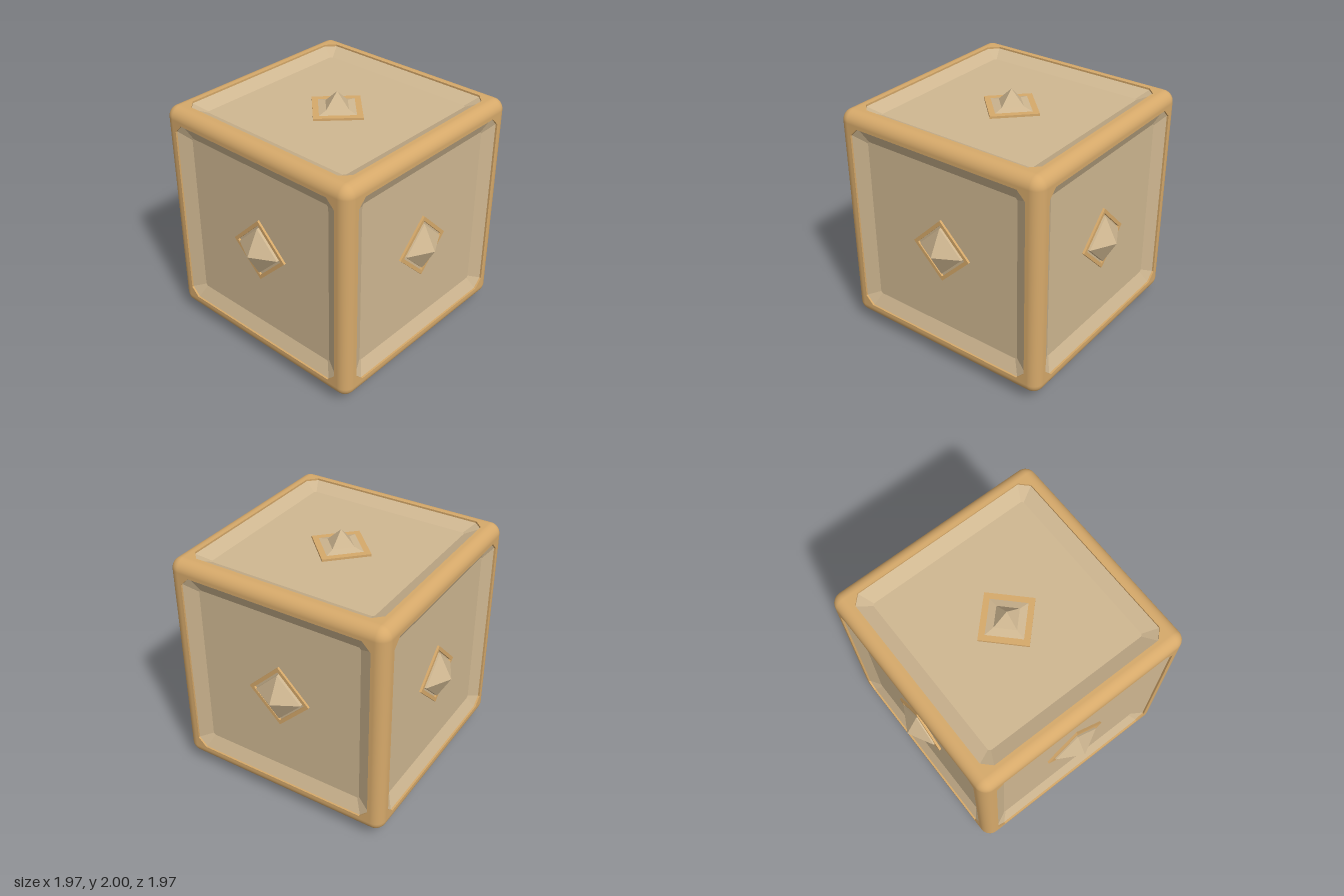
import * as THREE from 'three';

const HALF = 0.915;   // half size of the cube
const R = 0.09;       // edge rounding
const CORE = HALF - R;
const OPEN = 0.8;     // half size of each opening
const LIP = 0.9;      // height where the bevel starts
const FLOOR = 0.85;   // height of the sunken panel

// square outline with cut corners, counter-clockwise
function cutSquare(h, c) {
  return [[h, -h + c], [h, h - c], [h - c, h], [-h + c, h], [-h, h - c], [-h, -h + c], [-h + c, -h], [h - c, -h]]
    .map(([x, y]) => new THREE.Vector2(x, y));
}

// flat-shaded four-sided turned shape pointing along +z
function diamond(profile) {
  const lathe = new THREE.LatheGeometry(profile.map(([r, z]) => new THREE.Vector2(r, z)), 4);
  const g = lathe.toNonIndexed();
  g.computeVertexNormals();
  return g.rotateX(Math.PI / 2);
}

// sloped border between the opening and the panel floor
function bevelGeometry() {
  const outer = cutSquare(OPEN, 0.07), inner = cutSquare(0.69, 0.015);
  const pos = [];
  for (let i = 0; i < 8; i++) {
    const j = (i + 1) % 8;
    const a = [outer[i].x, outer[i].y, LIP], b = [outer[j].x, outer[j].y, LIP];
    const c = [inner[j].x, inner[j].y, FLOOR], d = [inner[i].x, inner[i].y, FLOOR];
    pos.push(...a, ...b, ...c, ...a, ...c, ...d);
  }
  const g = new THREE.BufferGeometry();
  g.setAttribute('position', new THREE.Float32BufferAttribute(pos, 3));
  g.computeVertexNormals();
  return g;
}

export function createModel() {
  const gold = new THREE.MeshStandardMaterial({ color: 0xd6a96a });
  gold.name = 'goldenTrim';
  const tan = new THREE.MeshStandardMaterial({ color: 0xcfb791 });
  tan.name = 'paleTan';

  const model = new THREE.Group();
  model.name = 'studdedCube';
  const cube = new THREE.Group();
  cube.name = 'cube';
  cube.position.y = 1;
  model.add(cube);

  const add = (parent, name, geometry, material) => {
    const mesh = new THREE.Mesh(geometry, material);
    mesh.name = name;
    parent.add(mesh);
    return mesh;
  };

  // rounded edges: four along each axis
  const edge = new THREE.CylinderGeometry(R, R, 2 * CORE, 8, 1, true, 0, Math.PI / 2).translate(CORE, 0, CORE);
  for (const [rx, rz] of [[0, 0], [Math.PI / 2, 0], [0, Math.PI / 2]]) {
    const set = new THREE.Group();
    set.name = 'edgeSet';
    set.rotation.set(rx, 0, rz);
    cube.add(set);
    for (let k = 0; k < 4; k++) add(set, 'roundedEdge', edge, gold).rotation.y = k * Math.PI / 2;
  }

  // rounded corners: upper and lower four
  for (const s of [1, -1]) {
    const corner = new THREE.SphereGeometry(R, 8, 8, Math.PI / 2, Math.PI / 2, s > 0 ? 0 : Math.PI / 2, Math.PI / 2)
      .translate(CORE, s * CORE, CORE);
    for (let k = 0; k < 4; k++) add(cube, 'roundedCorner', corner, gold).rotation.y = k * Math.PI / 2;
  }

  // flat border around each opening
  const border = new THREE.Shape(cutSquare(CORE, 0));
  border.holes.push(new THREE.Path(cutSquare(OPEN, 0.07).reverse()));
  const borderGeo = new THREE.ExtrudeGeometry(border, { depth: HALF - LIP, bevelEnabled: false }).translate(0, 0, LIP);
  const bevelGeo = bevelGeometry();
  const floorGeo = new THREE.ShapeGeometry(new THREE.Shape(cutSquare(0.69, 0.015))).translate(0, 0, FLOOR);

  // six faces: name, rotation, spike tip height
  const q = Math.PI / 2;
  const faces = [
    ['front', 0, 0, 0.98], ['left', 0, q, 0.985], ['back', 0, 2 * q, 0.985],
    ['right', 0, -q, 0.985], ['top', -q, 0, 1], ['bottom', q, 0, 1],
  ];
  for (const [name, rx, ry, tip] of faces) {
    const face = new THREE.Group();
    face.name = name + 'Face';
    face.rotation.set(rx, ry, 0);
    cube.add(face);
    add(face, 'border', borderGeo, gold);
    add(face, 'bevel', bevelGeo, tan);
    add(face, 'panel', floorGeo, tan);

    // diamond frame and spike; the top spike is steeper with a flared skirt
    const isTop = name === 'top';
    const inner = isTop ? 0.2 : 0.225;
    add(face, 'diamondFrame', diamond([[0.265, FLOOR], [0.265, FLOOR + 0.018], [inner, FLOOR + 0.018], [inner, FLOOR]]), gold);
    const spike = isTop
      ? [[0.2, FLOOR], [0.2, 0.868], [0.12, 0.885], [0, tip]]
      : [[0.2, FLOOR], [0.2, tip - 0.108], [0, tip]];
    add(face, 'spike', diamond(spike), tan);
  }
  return model;
}
